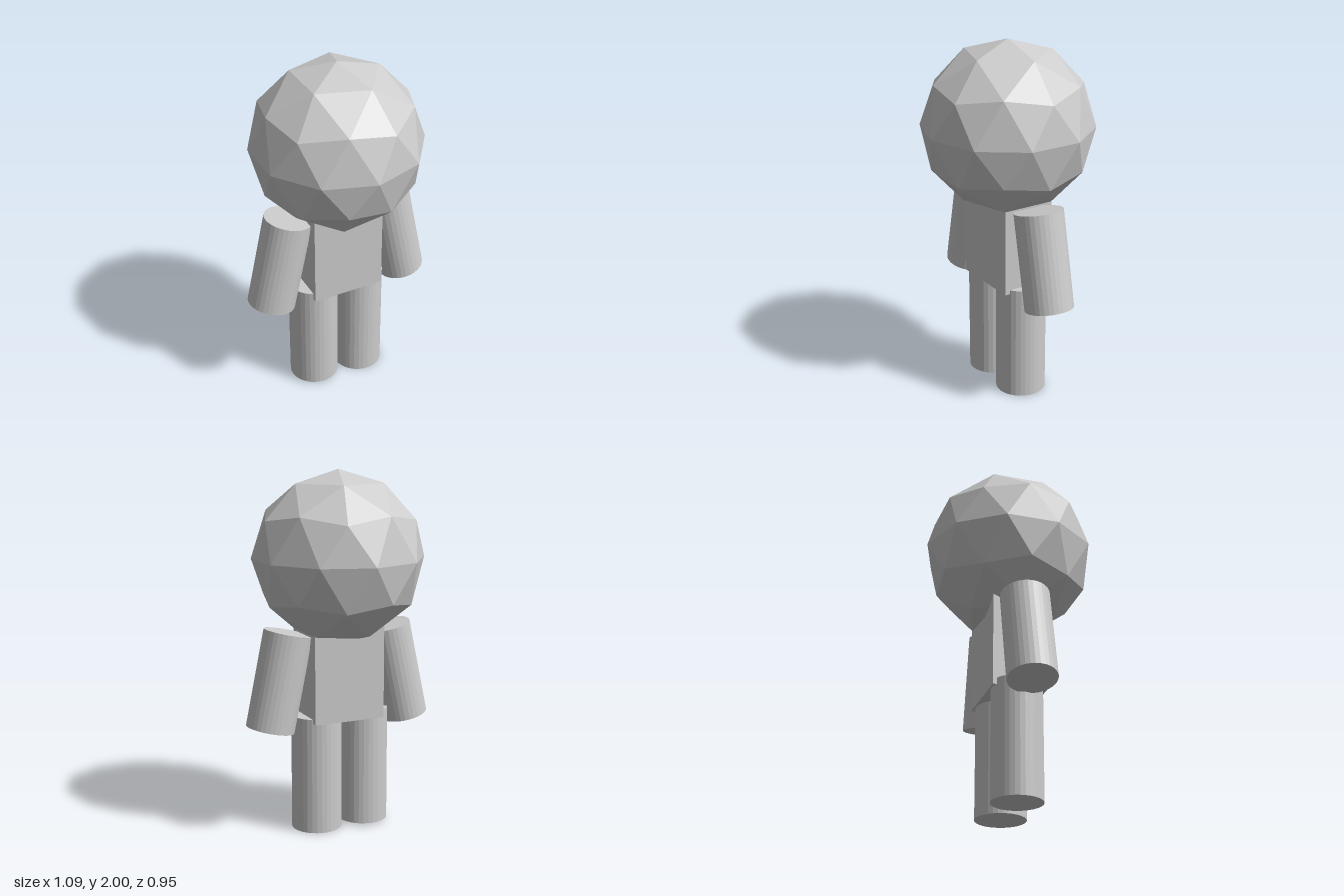
import * as THREE from 'three';

export function createModel() {
  const model = new THREE.Group();
  const grey = new THREE.MeshStandardMaterial({ color: 0xcccccc, flatShading: true });
  grey.name = 'plain grey';

  const add = (name, geometry, x, y, tilt = 0) => {
    const mesh = new THREE.Mesh(geometry, grey);
    mesh.name = name;
    mesh.position.set(x, y, 0);
    mesh.rotation.z = THREE.MathUtils.degToRad(tilt);
    model.add(mesh);
  };

  // Faceted head, turned so that a vertex points straight up
  const head = new THREE.IcosahedronGeometry(0.477, 1);
  head.rotateZ(-Math.atan(2 / (1 + Math.sqrt(5))));
  add('head', head, 0, 1.523);

  // Torso block, its top sunk into the head
  add('torso', new THREE.BoxGeometry(0.415, 0.55, 0.3), -0.002, 0.905);

  // Arms splay outwards from the shoulders
  const arm = new THREE.CylinderGeometry(0.135, 0.135, 0.543, 32);
  add('leftArm', arm, 0.355, 0.862, 11.8);
  add('rightArm', arm, -0.354, 0.862, -12.4);

  // Legs, the right one set slightly higher
  const leg = new THREE.CylinderGeometry(0.14, 0.14, 0.654, 32);
  add('leftLeg', leg, 0.134, 0.327);
  add('rightLeg', leg, -0.152, 0.34);

  return model;
}
